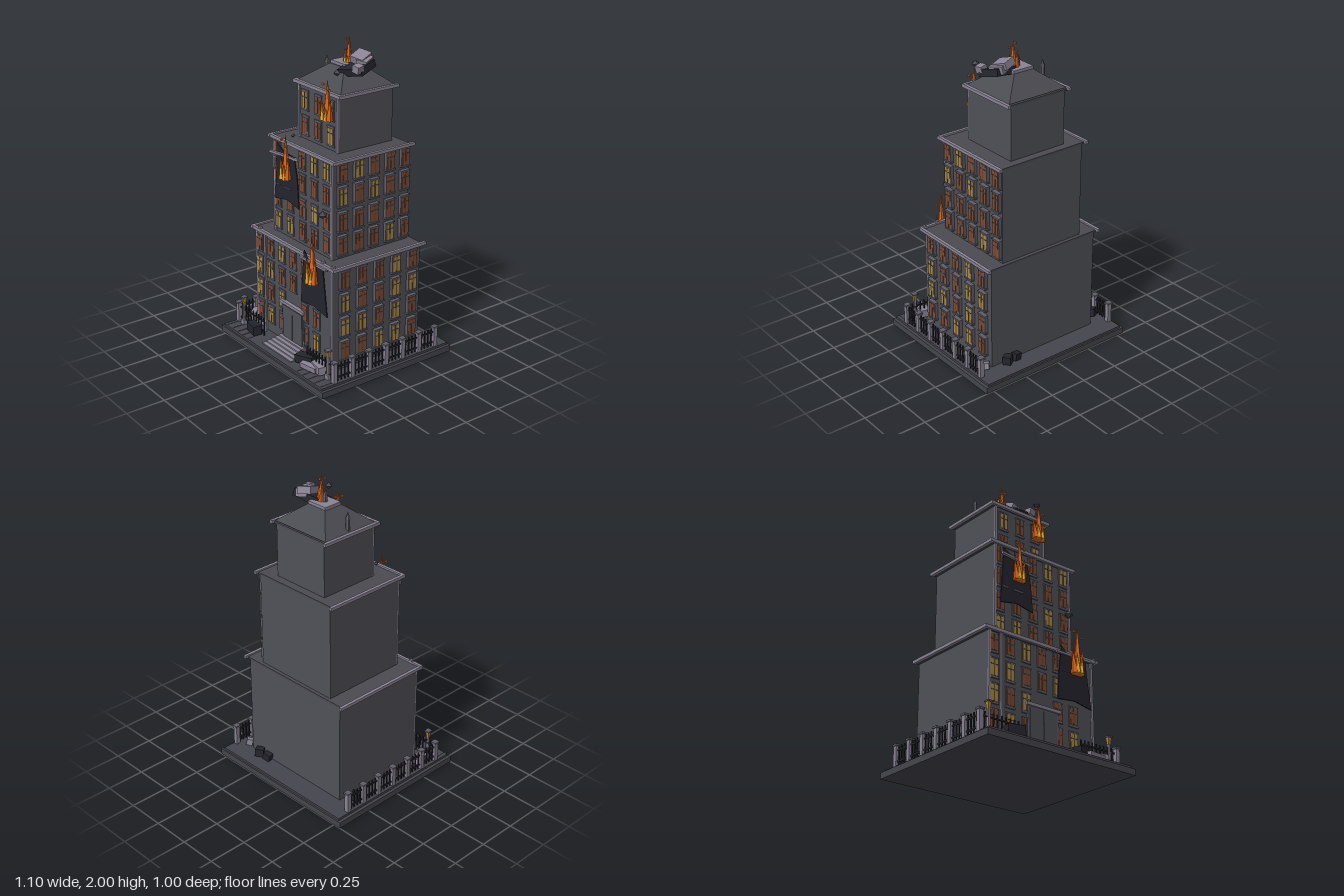
import * as THREE from 'three';

const mat = (name, color, side = THREE.FrontSide) => {
  const m = new THREE.MeshStandardMaterial({ color, side });
  m.name = name;
  return m;
};

export function createModel() {
  const M = {
    wall: mat('wall grey', 0x505157),
    trim: mat('pale stone', 0x8a8494),
    roof: mat('slate', 0x4a4a51),
    paving: mat('paving', 0x45454d),
    frame: mat('frame grey', 0x5f5d68),
    char: mat('charred black', 0x24242d, THREE.DoubleSide),
    ember: mat('ember glass', 0x8a4826),
    amber: mat('amber glass', 0xb08838),
    flame: mat('flame orange', 0xe2651a),
    glow: mat('flame yellow', 0xf2b02c),
  };
  const root = new THREE.Group();
  const group = (name, parent = root) => {
    const g = new THREE.Group();
    g.name = name;
    parent.add(g);
    return g;
  };
  const add = (name, geo, m, x, y, z, parent = root) => {
    const mesh = new THREE.Mesh(geo, m);
    mesh.name = name;
    mesh.position.set(x, y, z);
    parent.add(mesh);
    return mesh;
  };
  // Box given by its centre and size
  const box = (name, m, x, y, z, w, h, d, parent) =>
    add(name, new THREE.BoxGeometry(w, h, d), m, x, y, z, parent);
  // Box given by its limits
  const span = (name, m, x0, x1, y0, y1, z0, z1, parent) =>
    box(name, m, (x0 + x1) / 2, (y0 + y1) / 2, (z0 + z1) / 2, x1 - x0, y1 - y0, z1 - z0, parent);
  const faceted = (geo) => {
    const g = geo.index ? geo.toNonIndexed() : geo;
    g.computeVertexNormals();
    return g;
  };
  let seed = 7;
  const rand = () => (seed = (seed * 16807) % 2147483647) / 2147483647;

  // Ground slab
  span('baseSlab', M.paving, -0.55, 0.55, 0, 0.04, -0.5, 0.5);
  span('pavement', M.paving, -0.53, 0.53, 0.04, 0.055, -0.49, 0.49);

  // Window facing +z: frame, pane, glazing bars, sill and lintel
  const windowUnit = (parent, x, y, z, depth, turn) => {
    const g = group('window', parent);
    g.position.set(x, y, z);
    g.rotation.y = turn;
    const pane = rand() < 0.68 ? M.ember : M.amber;
    box('windowFrame', M.frame, 0, 0, depth / 2, 0.064, 0.114, depth, g);
    box('windowPane', pane, 0, 0, depth + 0.001, 0.05, 0.1, 0.003, g);
    box('mullion', M.roof, 0, 0, depth + 0.003, 0.008, 0.1, 0.003, g);
    box('transom', M.roof, 0, 0.02, depth + 0.003, 0.05, 0.006, 0.003, g);
    box('sill', M.frame, 0, -0.06, depth * 0.6, 0.07, 0.01, depth * 1.2, g);
    box('lintel', M.frame, 0, 0.06, depth * 0.6, 0.07, 0.008, depth * 1.2, g);
  };

  // Three stacked tiers; cornices run along the front and both sides
  const tiers = [
    { hw: 0.4, y0: 0.05, y1: 0.73, back: -0.355, front: 0.31, cols: [-0.36, -0.24, -0.12, 0, 0.12, 0.24],
      rows: [0.185, 0.34, 0.495, 0.65], side: [0.235, 0.105, -0.025, -0.155, -0.285], hole: [0.13, 0.35, 0.42] },
    { hw: 0.3, y0: 0.73, y1: 1.35, back: -0.335, front: 0.235, cols: [-0.255, -0.128, 0, 0.122, 0.245],
      rows: [0.82, 0.97, 1.13, 1.28], side: [0.175, 0.055, -0.06, -0.18, -0.295], hole: [-0.22, -0.05, 1] },
    { hw: 0.2, y0: 1.35, y1: 1.7, back: -0.285, front: 0.115, cols: [-0.13, 0, 0.125],
      rows: [1.44, 1.6], side: [], hole: [9, 9, 9] },
  ];
  for (const t of tiers) {
    const g = group('towerTier');
    span('walls', M.wall, -t.hw, t.hw, t.y0, t.y1, t.back, t.front, g);
    span('roofDeck', M.roof, -t.hw - 0.015, t.hw + 0.015, t.y1 - 0.01, t.y1 + 0.002, t.back - 0.003, t.front + 0.005, g);
    const o = t.hw + 0.035;
    span('frontCornice', M.trim, -o, o, t.y1 - 0.008, t.y1 + 0.013, t.front, t.front + 0.02, g);
    for (const s of [-1, 1]) {
      box('sideCornice', M.trim, s * (o - 0.01), t.y1 + 0.002, (t.back + t.front) / 2, 0.02, 0.02, t.front - t.back + 0.045, g);
      box('cornerPilaster', M.trim, s * (t.hw - 0.008), (t.y0 + t.y1) / 2, t.front + 0.004, 0.016, t.y1 - t.y0, 0.01, g);
    }
    for (const y of t.rows) {
      for (const x of t.cols) {
        const broken = x > t.hole[0] && x < t.hole[1] && y > t.hole[2];
        const doorway = t.hw === 0.4 && Math.abs(x) < 0.1 && y < 0.4;
        if (!broken && !doorway) windowUnit(g, x, y, t.front, 0.007, 0);
      }
      for (const z of t.side) windowUnit(g, t.hw, y, z, 0.022, Math.PI / 2);
    }
  }
  box('frontPilaster', M.trim, -0.305, 0.39, 0.314, 0.016, 0.68, 0.01);
  for (const x of [-0.35, 0.41, 0.31]) box('corniceStud', M.trim, x, 0.748, 0.315, 0.018, 0.016, 0.018);

  // Hipped roof with a flat cap, chimney and spike
  const hip = new THREE.CylinderGeometry(0.07 * Math.SQRT2, 0.212 * Math.SQRT2, 0.11, 4).rotateY(Math.PI / 4);
  add('hippedRoof', faceted(hip), M.roof, 0, 1.765, -0.087).scale.z = 0.94;
  box('roofCap', M.trim, 0, 1.828, -0.09, 0.145, 0.02, 0.125);
  const finial = (x, y, h, r) => {
    add('finialShaft', faceted(new THREE.CylinderGeometry(r, r, h, 6)), M.frame, x, y + h / 2, -0.09);
    add('finialTip', faceted(new THREE.ConeGeometry(r * 1.2, 0.045, 6)), M.frame, x, y + h + 0.022, -0.09);
  };
  finial(-0.193, 1.71, 0.08, 0.014);
  finial(-0.005, 1.83, 0.04, 0.014);

  // Entrance: portal, double door, canopy and steps
  const entry = group('entrance');
  span('portal', M.frame, -0.115, 0.115, 0.055, 0.325, 0.3, 0.322, entry);
  for (const s of [-1, 1]) box('doorLeaf', M.wall, s * 0.052, 0.195, 0.323, 0.1, 0.24, 0.008, entry);
  span('canopy', M.trim, -0.128, 0.128, 0.325, 0.345, 0.3, 0.335, entry);
  for (let i = 0; i < 5; i++) {
    const w = 0.125 + i * 0.0075;
    span('step', M.trim, -w, w, 0.05, 0.098 - i * 0.009, 0.31, 0.345 + i * 0.026, entry);
  }

  // Railings: side runs with stone posts, short front runs
  const fence = group('railings');
  for (const s of [-1, 1]) {
    for (let i = 0; i < 7; i++) {
      const z = -0.395 + i * 0.13;
      box('fencePost', M.trim, s * 0.513, 0.12, z, 0.028, 0.13, 0.028, fence);
      box('postCap', M.frame, s * 0.513, 0.187, z, 0.038, 0.012, 0.038, fence);
      if (i < 6) for (let k = 1; k < 5; k++)
        box('picket', M.char, s * 0.513, 0.12, z + k * 0.026, 0.007, 0.12, 0.007, fence);
    }
    for (const y of [0.085, 0.155]) {
      box('sideRail', M.char, s * 0.513, y, -0.005, 0.008, 0.01, 0.78, fence);
      box('frontRail', M.char, s * 0.37, y, 0.38, 0.28, 0.008, 0.008, fence);
    }
    for (let k = 0; k < 10; k++) {
      box('frontPicket', M.char, s * (0.235 + k * 0.03), 0.12, 0.38, 0.007, 0.125, 0.007, fence);
      if (k % 2) box('pavingJoint', M.frame, s * (0.235 + k * 0.03), 0.056, 0.43, 0.004, 0.004, 0.1, fence);
    }
    // Street lamp
    const lamp = group('streetLamp');
    lamp.position.set(s * 0.453, 0.055, 0.385);
    box('lampFoot', M.trim, 0, 0.015, 0, 0.034, 0.03, 0.034, lamp);
    box('lampPole', M.trim, 0, 0.075, 0, 0.014, 0.14, 0.014, lamp);
    add('lantern', faceted(new THREE.CylinderGeometry(0.018, 0.011, 0.042, 4).rotateY(Math.PI / 4)), M.amber, 0, 0.165, 0, lamp);
    box('lampCap', M.frame, 0, 0.19, 0, 0.036, 0.009, 0.036, lamp);
  }

  // Charred breaches in the front, with exposed beams
  const breach = (z, pts) => {
    const shape = new THREE.Shape(pts.map(([x, y]) => new THREE.Vector2(x, y)));
    add('charredBreach', new THREE.ExtrudeGeometry(shape, { depth: 0.006, bevelEnabled: false }), M.char, 0, 0, z);
  };
  breach(0.327, [[0.105, 0.42], [0.12, 0.6], [0.14, 0.77], [0.19, 0.72], [0.33, 0.71], [0.35, 0.55], [0.37, 0.41], [0.24, 0.435]]);
  breach(0.25, [[-0.265, 0.96], [-0.25, 1.15], [-0.24, 1.33], [-0.17, 1.29], [-0.06, 1.28], [-0.03, 1.15], [-0.015, 0.96], [-0.14, 0.985]]);
  box('fallenBeam', M.trim, -0.15, 1.272, 0.265, 0.25, 0.016, 0.016).rotation.y = 0.14;
  box('fallenBeam', M.trim, 0.235, 0.718, 0.335, 0.27, 0.014, 0.014);
  for (const [x, y, z, w] of [[-0.23, 1.065, 0.258, 0.04], [-0.13, 1.065, 0.258, 0.07], [0.17, 0.61, 0.336, 0.05]])
    box('brokenLath', M.frame, x, y, z, w, 0.008, 0.006);

  // Fires: cones of [dx, dz, radius, height, lean, yellow?]
  const tongues = [
    [0.008, 0, 0.03, 1, 0, 0], [-0.03, 0.008, 0.024, 0.5, 0.12, 0], [0.035, 0.004, 0.024, 0.55, -0.1, 0],
    [-0.012, -0.018, 0.022, 0.7, 0.06, 0], [-0.012, 0.022, 0.018, 0.42, 0.05, 1], [0.02, 0.022, 0.016, 0.34, -0.05, 1],
  ];
  const fire = (x, y, z, h, s) => {
    const g = group('fire');
    g.position.set(x, y, z);
    for (const [dx, dz, r, k, lean, hot] of tongues)
      add('flameTongue', faceted(new THREE.ConeGeometry(r * s, h * k, 5)), hot ? M.glow : M.flame, dx * s, h * k / 2, dz * s, g).rotation.z = lean;
    for (const [dx, k] of [[-0.02, 0.85], [0.035, 0.75]])
      box('spark', M.flame, dx * s, h * k, 0.01, 0.012, 0.012, 0.012, g);
  };
  fire(0.243, 0.6, 0.352, 0.32, 1.05);
  fire(-0.135, 1.13, 0.27, 0.29, 1);
  fire(0.125, 1.55, 0.15, 0.25, 1.05);
  fire(0.02, 1.825, -0.088, 0.175, 0.8);

  // Flying shards
  for (const [x, y, z, r] of [[0.255, 1.02, 0.277, 0.032], [-0.145, 1.387, 0.2, 0.016], [0.16, 1.832, 0.1, 0.027]])
    add('flyingShard', faceted(new THREE.OctahedronGeometry(r)), M.roof, x, y, z).scale.y = 0.8;

  // Rubble: [material, x, y, z, w, h, d, rx, ry, rz]
  const rubble = [
    // on the roof
    [M.char, 0.125, 1.825, -0.07, 0.18, 0.045, 0.14, 0.25, 0.25, 0.12],
    [M.trim, 0.115, 1.88, -0.11, 0.09, 0.045, 0.1, 0.3, 0.25, -0.25],
    [M.trim, 0.15, 1.86, -0.11, 0.07, 0.05, 0.09, 0.2, 0.4, -0.2],
    [M.trim, 0.205, 1.845, -0.018, 0.05, 0.045, 0.05, 0.1, 0.15, -0.2],
    // front left
    [M.char, -0.292, 0.1, 0.418, 0.11, 0.06, 0.055, 0, -0.2, 0.05],
    [M.trim, -0.31, 0.085, 0.362, 0.085, 0.05, 0.055, 0, -0.1, 0],
    [M.trim, -0.465, 0.09, 0.285, 0.05, 0.06, 0.08, 0.2, 0.5, 0.2],
    // front right
    [M.char, 0.235, 0.1, 0.39, 0.13, 0.05, 0.065, 0, 0.3, 0.1],
    [M.trim, 0.31, 0.085, 0.415, 0.13, 0.035, 0.05, 0.1, 0.15, 0],
    [M.trim, 0.36, 0.09, 0.38, 0.12, 0.05, 0.07, 0, -0.2, 0.05],
    [M.trim, 0.29, 0.08, 0.35, 0.1, 0.03, 0.04, 0, -0.15, 0],
    // sides and back
    [M.char, -0.467, 0.085, -0.283, 0.055, 0.05, 0.055, 0.2, 0.6, 0.1],
    [M.char, 0.23, 0.08, -0.38, 0.05, 0.045, 0.04, 0, 0.2, 0.2],
    [M.char, 0.3, 0.085, -0.385, 0.055, 0.05, 0.05, 0.1, 0.6, 0],
    [M.trim, 0.44, 0.08, -0.35, 0.04, 0.04, 0.04, 0.2, 0.8, 0.1],
  ];
  for (const [m, x, y, z, w, h, d, rx, ry, rz] of rubble)
    box('rubble', m, x, y, z, w, h, d).rotation.set(rx, ry, rz);

  return root;
}
